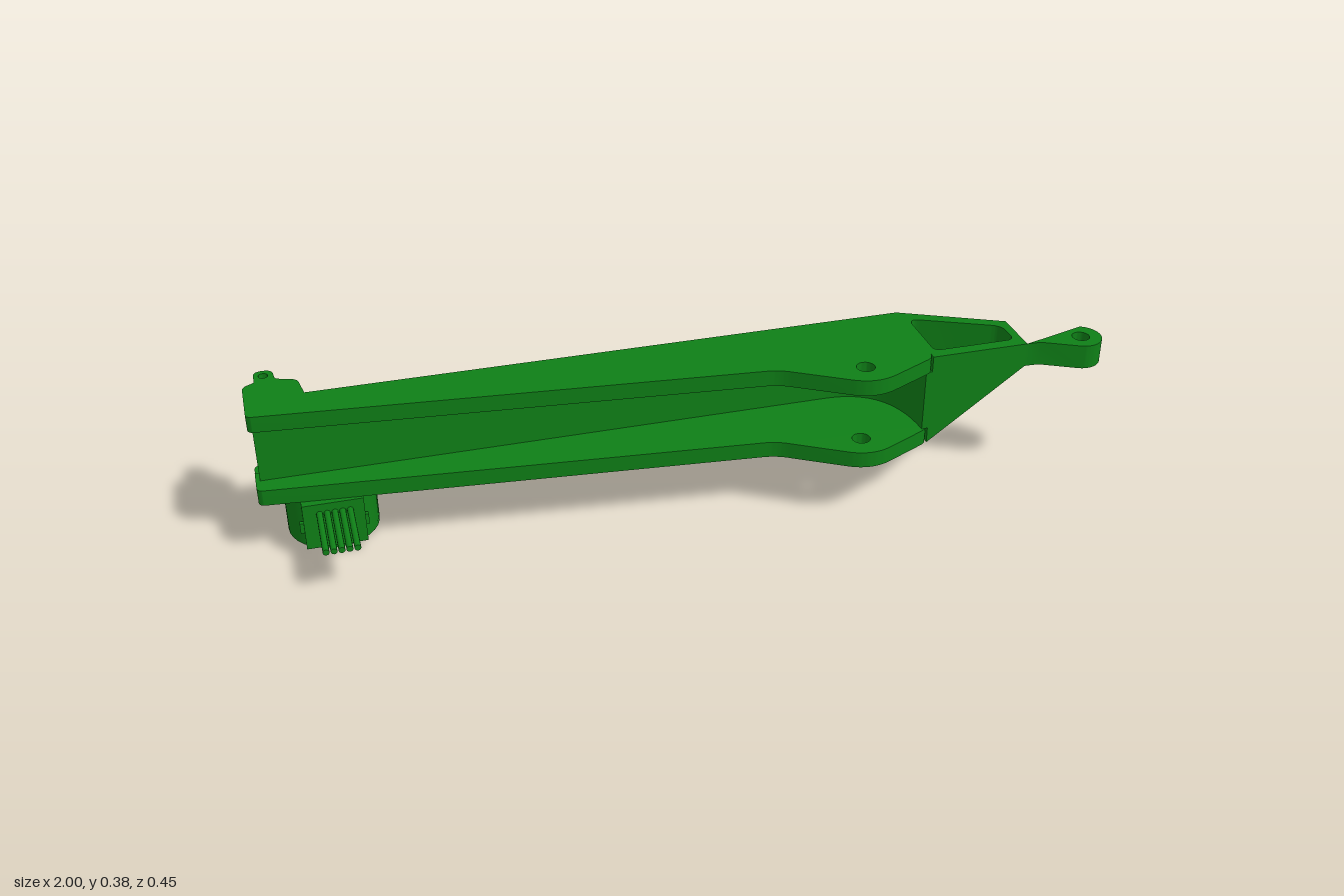
import * as THREE from 'three';
import { toCreasedNormals } from 'three/addons/utils/BufferGeometryUtils.js';

const material = new THREE.MeshStandardMaterial({ color: 0x0f8017, roughness: 0.7 });

// Closed outline in plan (x, z); a third value rounds that corner by cutting back that far.
function outline(points, Type = THREE.Shape) {
  const path = new Type();
  const n = points.length;
  points.forEach(([x, z, r = 0], i) => {
    const corner = new THREE.Vector2(x, z);
    const toward = ([px, pz]) => new THREE.Vector2(px, pz).sub(corner).setLength(r).add(corner);
    const a = r ? toward(points[(i + n - 1) % n]) : corner;
    if (i === 0) path.moveTo(a.x, a.y); else path.lineTo(a.x, a.y);
    if (r) {
      const b = toward(points[(i + 1) % n]);
      path.quadraticCurveTo(x, z, b.x, b.y);
    }
  });
  path.closePath();
  return path;
}

function circle(x, z, r, Type = THREE.Path) {
  const path = new Type();
  path.absarc(x, z, r, 0, Math.PI * 2, false);
  return path;
}

// Extrudes a plan outline between two heights.
function slab(shape, y0, y1) {
  const geo = new THREE.ExtrudeGeometry(shape, { depth: y1 - y0, bevelEnabled: false, curveSegments: 16 });
  geo.rotateX(Math.PI / 2).translate(0, y1, 0);
  return toCreasedNormals(geo, 0.6);
}

export function createModel() {
  const model = new THREE.Group();
  const add = (name, geo, parent = model) => {
    const mesh = new THREE.Mesh(geo, material);
    mesh.name = name;
    parent.add(mesh);
    return mesh;
  };
  const cylinder = (name, r, x, z, y0, y1, parent) =>
    add(name, new THREE.CylinderGeometry(r, r, y1 - y0, 40).translate(x, (y0 + y1) / 2, z), parent);
  const box = (name, x0, x1, y0, y1, z0, z1, parent) =>
    add(name, new THREE.BoxGeometry(x1 - x0, y1 - y0, z1 - z0)
      .translate((x0 + x1) / 2, (y0 + y1) / 2, (z0 + z1) / 2), parent);

  // Upper and lower flanges with the bulged pivot lobe
  for (const [name, y0, y1] of [['upperFlange', 0.345, 0.385], ['lowerFlange', 0.15, 0.19]]) {
    const flange = outline([
      [-1, -0.08], [0.57, -0.08], [0.57, 0.155, 0.02], [0.4, 0.235, 0.06],
      [0.2, 0.115, 0.03], [-1, -0.002, 0.015],
    ]);
    flange.holes.push(circle(0.4, 0.155, 0.022));
    add(name, slab(flange, y0, y1));
  }

  // Recessed web, curving forward into the end wall
  const web = new THREE.Shape();
  web.moveTo(-0.99, -0.08);
  web.lineTo(0.57, -0.08);
  web.lineTo(0.57, 0.155);
  web.lineTo(0.555, 0.155);
  web.bezierCurveTo(0.55, 0.03, 0.5, -0.045, 0.38, -0.045);
  web.lineTo(-0.99, -0.045);
  web.closePath();
  add('web', slab(web, 0.19, 0.345));

  // Two rails along the back
  for (const [name, y0, y1, start] of [['upperRail', 0.31, 0.33, -0.88], ['lowerRail', 0.2, 0.222, -0.88]]) {
    add(name, slab(outline([
      [start, -0.075], [start, -0.109, 0.015], [0.52, -0.109, 0.01], [0.57, -0.075],
    ]), y0, y1));
  }

  // Tapered nose: its underside rises towards the tip
  const nose = outline([[0.57, -0.08], [0.81, 0.036], [0.81, 0.155], [0.57, 0.155]]);
  nose.holes.push(outline([
    [0.585, -0.04, 0.03], [0.79, 0.056, 0.025], [0.79, 0.125, 0.02], [0.585, 0.125, 0.02],
  ], THREE.Path));
  const noseGeo = slab(nose, 0.15, 0.385);
  const pos = noseGeo.attributes.position;
  for (let i = 0; i < pos.count; i++) {
    if (pos.getY(i) < 0.2) pos.setY(i, 0.15 + (pos.getX(i) - 0.57) / 0.24 * 0.175);
  }
  noseGeo.computeVertexNormals();
  add('nose', toCreasedNormals(noseGeo, 0.6));

  // Rounded eye at the tip
  const eye = new THREE.Shape();
  eye.moveTo(0.81, 0.036);
  eye.absarc(0.95, 0.155, 0.05, -1.134, 1.98, false);
  eye.lineTo(0.845, 0.157);
  eye.lineTo(0.81, 0.155);
  eye.closePath();
  eye.holes.push(circle(0.95, 0.155, 0.021));
  add('tipEye', slab(eye, 0.325, 0.385));

  // Upper tab with a drilled knob
  const tab = outline([
    [-1, -0.08], [-1, -0.14, 0.015], [-0.972, -0.155, 0.005], [-0.972, -0.206, 0.02],
    [-0.928, -0.206, 0.02], [-0.925, -0.162, 0.01], [-0.875, -0.145, 0.015], [-0.865, -0.08],
  ]);
  tab.holes.push(circle(-0.95, -0.182, 0.011));
  add('upperTab', slab(tab, 0.355, 0.385));
  const knob = circle(-0.95, -0.181, 0.025, THREE.Shape);
  knob.holes.push(circle(-0.95, -0.182, 0.011));
  add('tabKnob', slab(knob, 0.33, 0.356));

  // Lower brackets that carry the motor
  const leftBracket = outline([
    [-1, -0.08], [-1, -0.14, 0.015], [-0.945, -0.148, 0.015], [-0.92, -0.08],
  ]);
  const rightBracket = outline([
    [-0.75, -0.08], [-0.735, -0.148, 0.015], [-0.675, -0.148, 0.015], [-0.635, -0.109, 0.01], [-0.61, -0.08],
  ]);
  leftBracket.holes.push(circle(-0.97, -0.12, 0.014));
  rightBracket.holes.push(circle(-0.7, -0.12, 0.014));
  add('leftBracket', slab(leftBracket, 0.15, 0.172));
  add('rightBracket', slab(rightBracket, 0.15, 0.172));
  // Sloped gussets above the brackets
  for (const x of [-0.925, -0.745]) {
    const gusset = new THREE.Shape([[0.078, 0.17], [0.145, 0.17], [0.1, 0.2], [0.078, 0.2]]
      .map(([a, b]) => new THREE.Vector2(a, b)));
    add('bracketGusset', new THREE.ExtrudeGeometry(gusset, { depth: 0.015, bevelEnabled: false })
      .rotateY(Math.PI / 2).translate(x, 0, 0));
  }

  // Small geared motor under the rear end
  const motor = new THREE.Group();
  motor.name = 'motor';
  model.add(motor);
  const mx = -0.835, mz = -0.117;
  cylinder('motorCan', 0.108, mx, mz, 0.012, 0.15, motor);
  const base = circle(mx, mz, 0.108, THREE.Shape);
  base.holes.push(circle(mx, mz, 0.014));
  for (let i = 0; i < 8; i++) {
    const a = i * Math.PI / 4;
    base.holes.push(circle(mx + 0.065 * Math.cos(a), mz + 0.065 * Math.sin(a), 0.012));
  }
  add('motorBase', slab(base, 0, 0.012), motor);
  const ears = outline([
    [-1, -0.09, 0.02], [-1, -0.145, 0.02], [-0.67, -0.145, 0.02], [-0.67, -0.09, 0.02],
  ]);
  ears.holes.push(circle(-0.97, -0.117, 0.014), circle(-0.7, -0.117, 0.014));
  add('motorEars', slab(ears, 0.142, 0.151), motor);
  cylinder('bossFlange', 0.034, mx, -0.18, 0.149, 0.161, motor);
  cylinder('shaftBoss', 0.021, mx, -0.18, 0.16, 0.18, motor);
  cylinder('shaft', 0.012, mx, -0.18, 0.18, 0.227, motor);
  // Connector housing with side clips, and ribbon of wires
  box('connectorHousing', -0.908, -0.767, 0.032, 0.15, -0.06, 0.028, motor);
  for (const x of [-0.917, -0.767]) box('housingClip', x, x + 0.01, 0.045, 0.072, -0.031, -0.02, motor);
  for (let i = 0; i < 5; i++) {
    add('wire', new THREE.CylinderGeometry(0.0075, 0.0075, 0.16, 12)
      .rotateX(Math.PI / 2).translate(mx + (i - 2) * 0.0175, 0.124, 0.105), motor);
  }
  return model;
}
